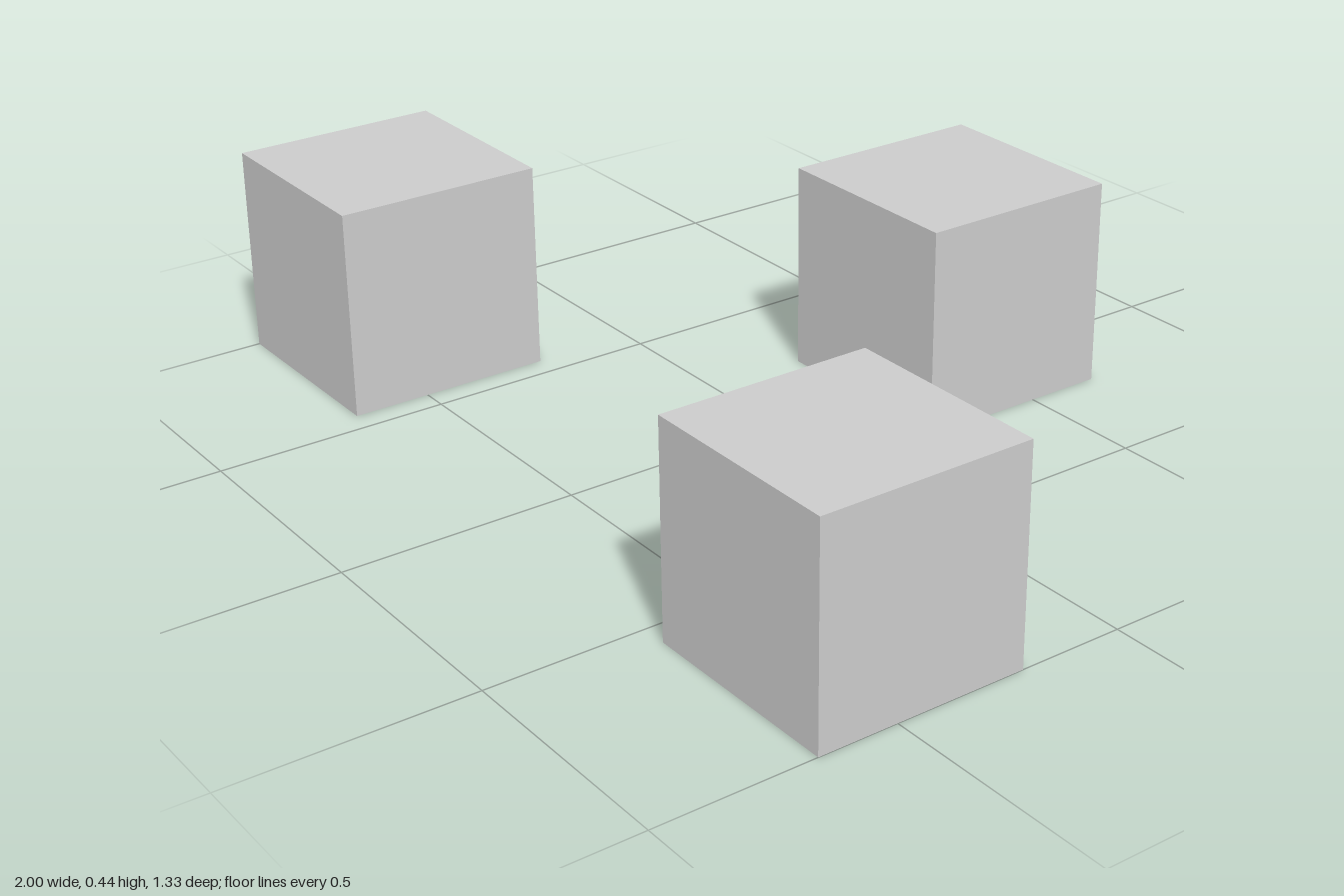
import * as THREE from 'three';

const SIZE = 4 / 9; // edge length of every cube

export function createModel() {
  const group = new THREE.Group();
  const material = new THREE.MeshStandardMaterial({ color: 0xcccccc, flatShading: true });
  const geometry = new THREE.BoxGeometry(SIZE, SIZE, SIZE);

  // Three equal cubes in a triangle, all resting on the ground
  const cubes = [
    ['backCube', 0, -SIZE],
    ['frontLeftCube', 1 - SIZE / 2, SIZE],
    ['frontRightCube', -1 + SIZE / 2, SIZE],
  ];
  for (const [name, x, z] of cubes) {
    const cube = new THREE.Mesh(geometry, material);
    cube.name = name;
    cube.position.set(x, SIZE / 2, z);
    group.add(cube);
  }
  return group;
}
